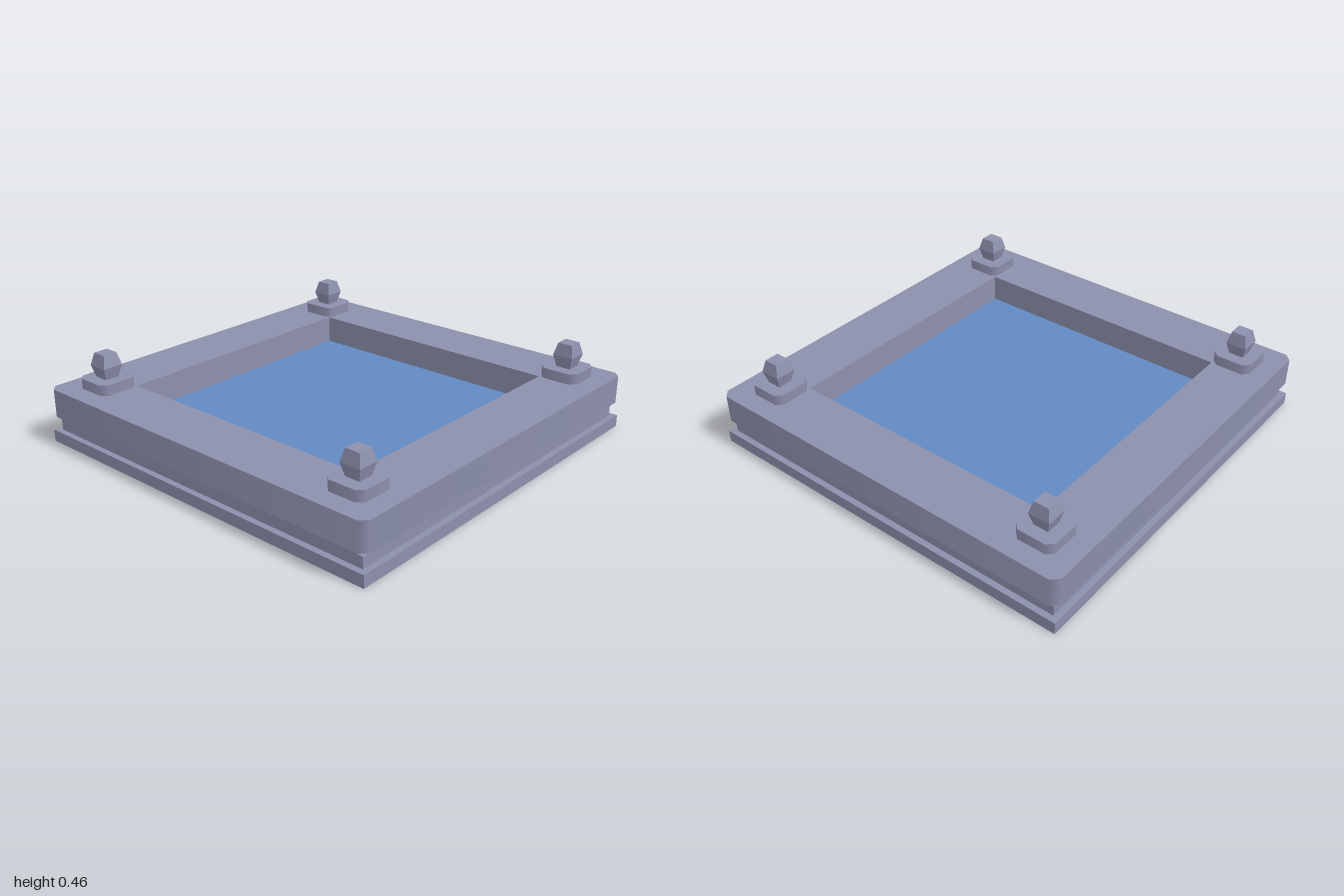
import * as THREE from 'three';

const stone = new THREE.MeshStandardMaterial({ color: 0x8c90ac });
stone.name = 'stone';
const water = new THREE.MeshStandardMaterial({ color: 0x6289c3 });
water.name = 'water';

// Square with cut corners, counter-clockwise, as Vector2 points
function cutSquare(half, cut) {
  const s = half - cut;
  return [[half, -s], [half, s], [s, half], [-s, half],
    [-half, s], [-half, -s], [-s, -half], [s, -half]].map(([x, y]) => new THREE.Vector2(x, y));
}

// Band of side faces between two cut squares, softly shaded around the corners
function band(half0, y0, half1, y1, cut) {
  const low = cutSquare(half0, cut), high = cutSquare(half1, cut);
  const position = [], normal = [], index = [];
  const slope = (half0 - half1) / (y1 - y0);
  for (let i = 0; i < 8; i++) {
    // Bisector of the two faces that meet at this corner
    const angle = Math.PI / 8 * (2 * i - 1);
    const n = new THREE.Vector3(Math.cos(angle), slope, -Math.sin(angle)).normalize();
    position.push(low[i].x, y0, -low[i].y, high[i].x, y1, -high[i].y);
    normal.push(n.x, n.y, n.z, n.x, n.y, n.z);
    const a = 2 * i, b = 2 * ((i + 1) % 8);
    index.push(a, b, b + 1, a, b + 1, a + 1);
  }
  const geometry = new THREE.BufferGeometry();
  geometry.setAttribute('position', new THREE.Float32BufferAttribute(position, 3));
  geometry.setAttribute('normal', new THREE.Float32BufferAttribute(normal, 3));
  geometry.setIndex(index);
  return geometry;
}

// Level cap with cut corners and an optional square hole
function cap(half, cut, y, hole = 0) {
  const shape = new THREE.Shape(cutSquare(half, cut));
  if (hole) {
    shape.holes.push(new THREE.Path([[-hole, -hole], [-hole, hole], [hole, hole], [hole, -hole]]
      .map(([x, z]) => new THREE.Vector2(x, z))));
  }
  return new THREE.ShapeGeometry(shape).rotateX(-Math.PI / 2).translate(0, y, 0);
}

function add(parent, name, geometry, material = stone) {
  const mesh = new THREE.Mesh(geometry, material);
  mesh.name = name;
  parent.add(mesh);
  return mesh;
}

function slab(parent, name, size, y0, y1) {
  add(parent, name, new THREE.BoxGeometry(size, y1 - y0, size)).position.y = (y0 + y1) / 2;
}

// Four-sided tapered block with flat faces
function taper(bottomHalf, topHalf, y0, y1) {
  return new THREE.CylinderGeometry(topHalf * Math.SQRT2, bottomHalf * Math.SQRT2, y1 - y0, 4)
    .rotateY(Math.PI / 4).translate(0, (y0 + y1) / 2, 0).toNonIndexed();
}

export function createModel() {
  const model = new THREE.Group();
  model.name = 'pool';

  // Stepped foundation
  slab(model, 'baseSlab', 2, 0, 0.06);
  slab(model, 'recessedStep', 1.94, 0.06, 0.115);

  // Rim with flared underside
  const rim = new THREE.Group();
  rim.name = 'rim';
  model.add(rim);
  add(rim, 'rimFlare', band(0.97, 0.115, 1, 0.14, 0.035));
  add(rim, 'rimSides', band(1, 0.14, 1, 0.283, 0.035));
  add(rim, 'rimTop', cap(1, 0.035, 0.283, 0.703));

  // Inner walls of the basin
  for (let i = 0; i < 4; i++) {
    const wall = new THREE.PlaneGeometry(1.406, 0.143).translate(0, 0.2115, -0.703);
    add(rim, 'innerWall', wall.rotateY(i * Math.PI / 2));
  }

  // Water surface
  add(model, 'waterSurface', new THREE.PlaneGeometry(1.406, 1.406).rotateX(-Math.PI / 2), water)
    .position.y = 0.14;

  // Corner finials
  for (const x of [-0.8, 0.8]) {
    for (const z of [-0.8, 0.8]) {
      const finial = new THREE.Group();
      finial.name = 'cornerFinial';
      finial.position.set(x, 0, z);
      model.add(finial);
      add(finial, 'padSides', band(0.1, 0.283, 0.1, 0.336, 0.03));
      add(finial, 'padTop', cap(0.1, 0.03, 0.336));
      for (const [name, b, t, y0, y1] of [['knobLower', 0.037, 0.053, 0.336, 0.398],
        ['knobUpper', 0.053, 0.037, 0.398, 0.46]]) {
        const geometry = taper(b, t, y0, y1);
        geometry.computeVertexNormals();
        add(finial, name, geometry);
      }
    }
  }
  return model;
}
